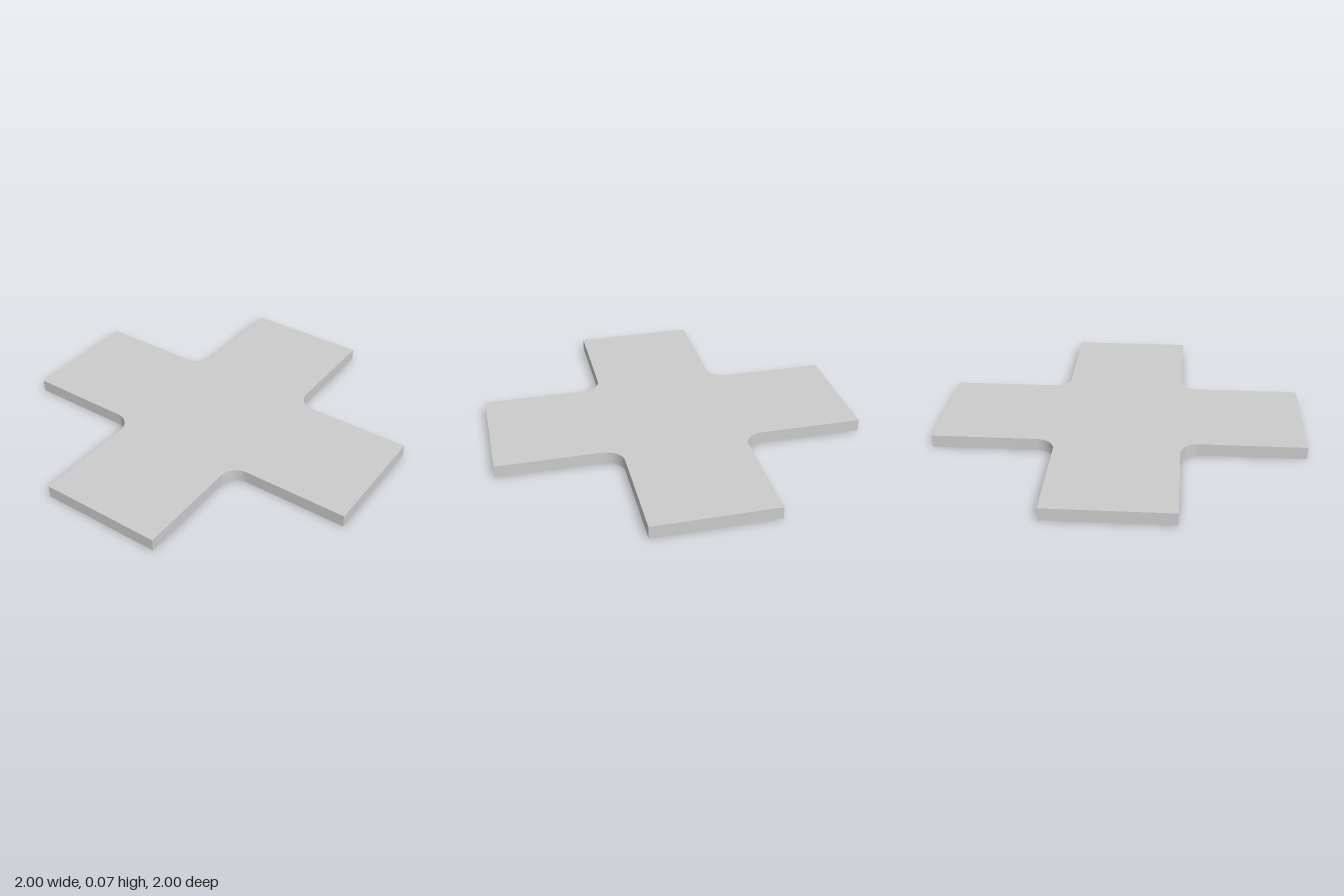
import * as THREE from 'three';
import { toCreasedNormals } from 'three/addons/utils/BufferGeometryUtils.js';

const REACH = 1;          // centre to the end of each arm
const HALF_WIDTH = 1 / 3; // half the width of an arm
const FILLET = 0.1;       // radius of the inner corners
const THICKNESS = 0.067;

// Cross outline: one arm end and one filleted inner corner per quarter turn
function crossShape() {
  const shape = new THREE.Shape();
  const centre = HALF_WIDTH + FILLET;
  const origin = new THREE.Vector2();
  for (let i = 0; i < 4; i++) {
    const turn = i * Math.PI / 2;
    const at = (x, y) => new THREE.Vector2(x, y).rotateAround(origin, turn);
    const a = at(REACH, -HALF_WIDTH), b = at(REACH, HALF_WIDTH), c = at(centre, centre);
    if (i === 0) shape.moveTo(a.x, a.y);
    else shape.lineTo(a.x, a.y);
    shape.lineTo(b.x, b.y);
    shape.absarc(c.x, c.y, FILLET, turn - Math.PI / 2, turn - Math.PI, true);
  }
  shape.closePath();
  return shape;
}

export function createModel() {
  const model = new THREE.Group();
  model.name = 'crossPlate';

  // Flat plate, laid down with its underside on the ground
  let geometry = new THREE.ExtrudeGeometry(crossShape(), {
    depth: THICKNESS, bevelEnabled: false, curveSegments: 16,
  });
  geometry.rotateX(-Math.PI / 2);
  geometry = toCreasedNormals(geometry, Math.PI / 6);

  const plate = new THREE.Mesh(geometry, new THREE.MeshStandardMaterial({ color: 0xcccccc }));
  plate.name = 'plate';
  model.add(plate);
  return model;
}
